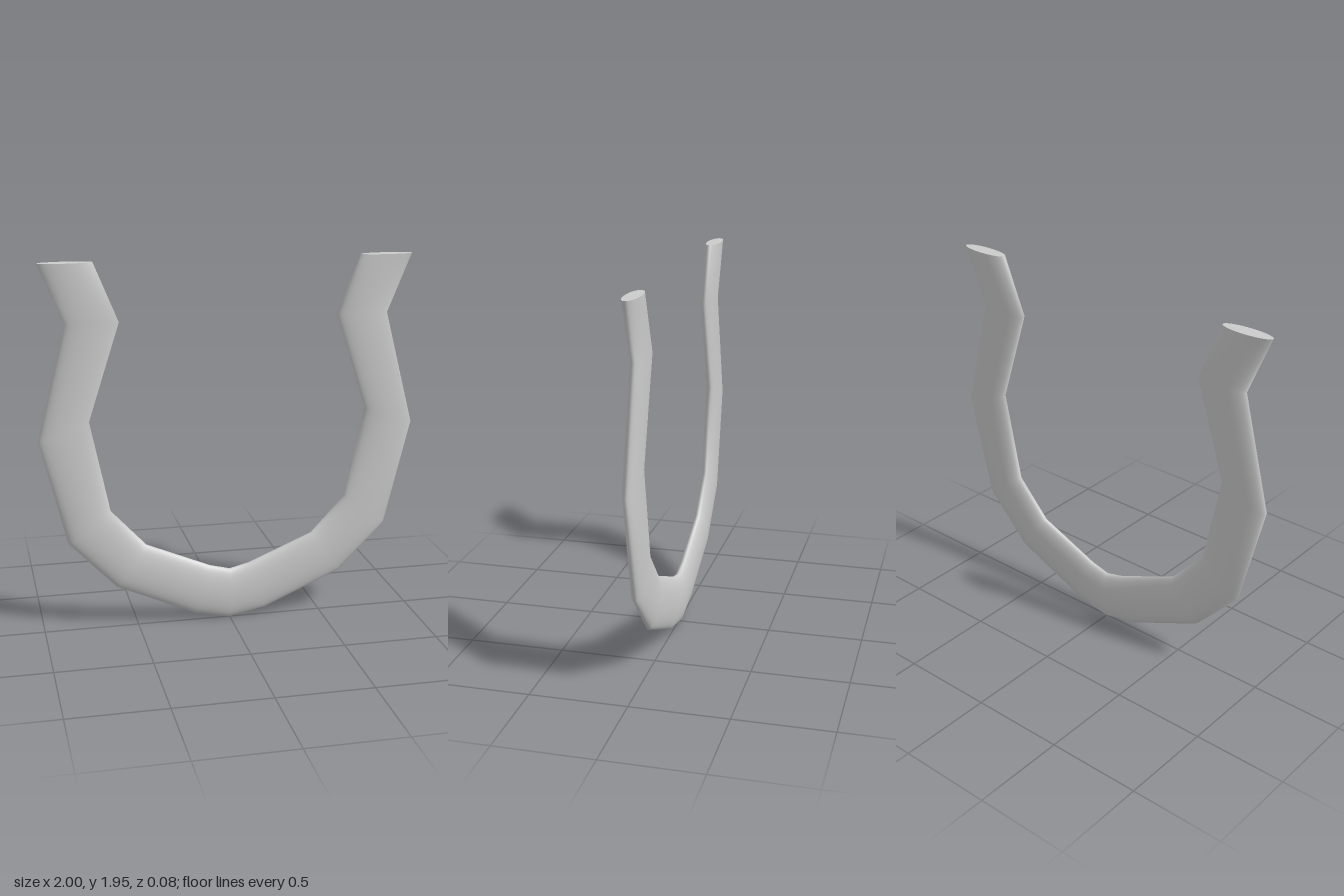
import * as THREE from 'three';

const SIDES = 40;
const HALF_DEPTH = 0.039;

// Bend stations from one tip to the middle: [outer x, outer y, inner x, inner y]
const HALF = [
  [0.972, 1.957, 0.695, 1.957],
  [0.845, 1.65, 0.57, 1.65],
  [0.998, 1.05, 0.735, 1.14],
  [0.861, 0.49, 0.636, 0.655],
  [0.613, 0.23, 0.451, 0.455],
  [0.195, 0.045, 0.107, 0.31],
  [0, 0.005, 0, 0.283],
];

// Elliptical ring spanning the outer and inner edge of a station
function ring([ox, oy, ix, iy]) {
  const points = [];
  for (let j = 0; j < SIDES; j++) {
    const a = (j / SIDES) * Math.PI * 2;
    const c = Math.cos(a) / 2;
    points.push(new THREE.Vector3(
      (ox + ix) / 2 + (ox - ix) * c,
      (oy + iy) / 2 + (oy - iy) * c,
      HALF_DEPTH * Math.sin(a)
    ));
  }
  return points;
}

function makeGeometry(points, index) {
  const geometry = new THREE.BufferGeometry().setFromPoints(points);
  geometry.setIndex(index);
  geometry.computeVertexNormals();
  return geometry;
}

// Smooth skin joining consecutive rings
function skin(rings) {
  const index = [];
  for (let i = 0; i < rings.length - 1; i++) {
    for (let j = 0; j < SIDES; j++) {
      const k = (j + 1) % SIDES;
      const a = i * SIDES + j, b = i * SIDES + k;
      index.push(a, b, a + SIDES, b, b + SIDES, a + SIDES);
    }
  }
  return makeGeometry(rings.flat(), index);
}

// Flat upward-facing end
function cap(points, reverse) {
  const index = [];
  for (let j = 1; j < SIDES - 1; j++) {
    index.push(0, ...(reverse ? [j + 1, j] : [j, j + 1]));
  }
  return makeGeometry(points, index);
}

export function createModel() {
  const group = new THREE.Group();
  group.name = 'horseshoe';
  const material = new THREE.MeshStandardMaterial({ color: 0xcccccc });
  const add = (name, geometry) => {
    const mesh = new THREE.Mesh(geometry, material);
    mesh.name = name;
    group.add(mesh);
  };

  // Mirror the half profile to complete the bent bar
  const mirrored = HALF.slice(0, -1).reverse().map(([ox, oy, ix, iy]) => [-ox, oy, -ix, iy]);
  const rings = [...HALF, ...mirrored].map(ring);

  add('bentBar', skin(rings));
  add('leftTip', cap(rings[0], true));
  add('rightTip', cap(rings[rings.length - 1], false));
  return group;
}
